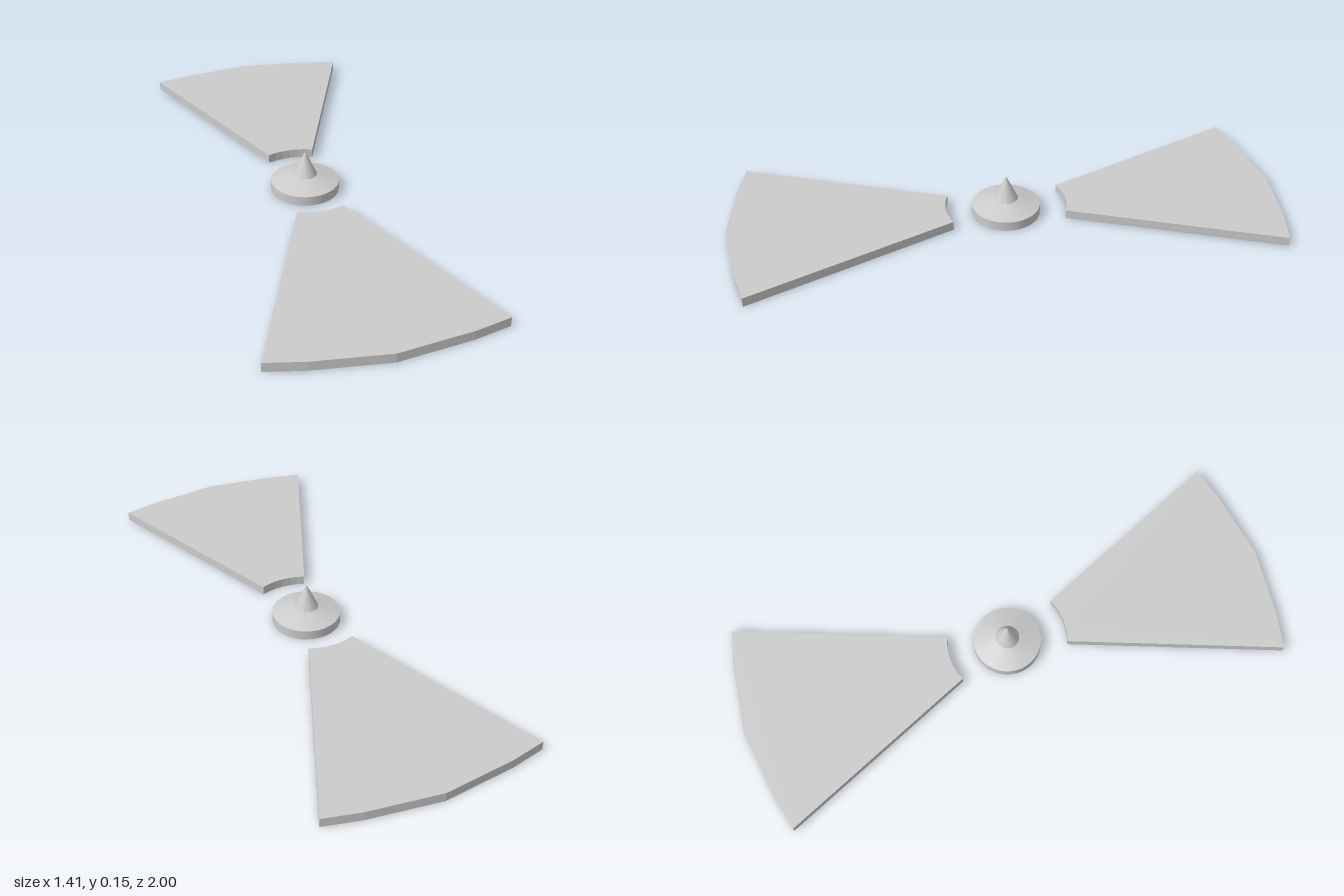
import * as THREE from 'three';
import { toCreasedNormals } from 'three/addons/utils/BufferGeometryUtils.js';

const material = new THREE.MeshStandardMaterial({ color: 0xcccccc });
const THICKNESS = 0.033;

// Flat 45 degree sector plate with a coarse outer arc and a concave inner arc
function bladeGeometry() {
  const at = (radius, degrees) => {
    const a = THREE.MathUtils.degToRad(degrees);
    return new THREE.Vector2(Math.cos(a) * radius, Math.sin(a) * radius);
  };
  const outer = [45, 52.6, 67.6, 82.4, 90].map((d) => at(d === 45 || d === 90 ? 0.998 : 0.985, d));
  const inner = [90, 82.5, 75, 67.5, 60, 52.5, 45].map((d) => at(0.218, d));
  const geometry = new THREE.ExtrudeGeometry(new THREE.Shape([...outer, ...inner]), {
    depth: THICKNESS,
    bevelEnabled: false,
  });
  // Lay the plate flat: shape y becomes z
  return geometry.rotateX(Math.PI / 2).translate(0, THICKNESS + 0.002, 0);
}

// Round disc with a shallow shoulder and a pointed spike
function hubGeometry() {
  const profile = [[0, 0], [0.122, 0], [0.122, 0.035], [0.043, 0.06], [0, 0.15]];
  const points = profile.map(([r, y]) => new THREE.Vector2(r, y));
  return toCreasedNormals(new THREE.LatheGeometry(points, 40), 0.3);
}

export function createModel() {
  const group = new THREE.Group();
  group.name = 'twoBladeRotor';

  const hub = new THREE.Mesh(hubGeometry(), material);
  hub.name = 'hub';
  group.add(hub);

  // Two opposite blades
  const geometry = bladeGeometry();
  ['frontBlade', 'backBlade'].forEach((name, i) => {
    const blade = new THREE.Mesh(geometry, material);
    blade.name = name;
    blade.rotation.y = i * Math.PI;
    group.add(blade);
  });
  return group;
}
